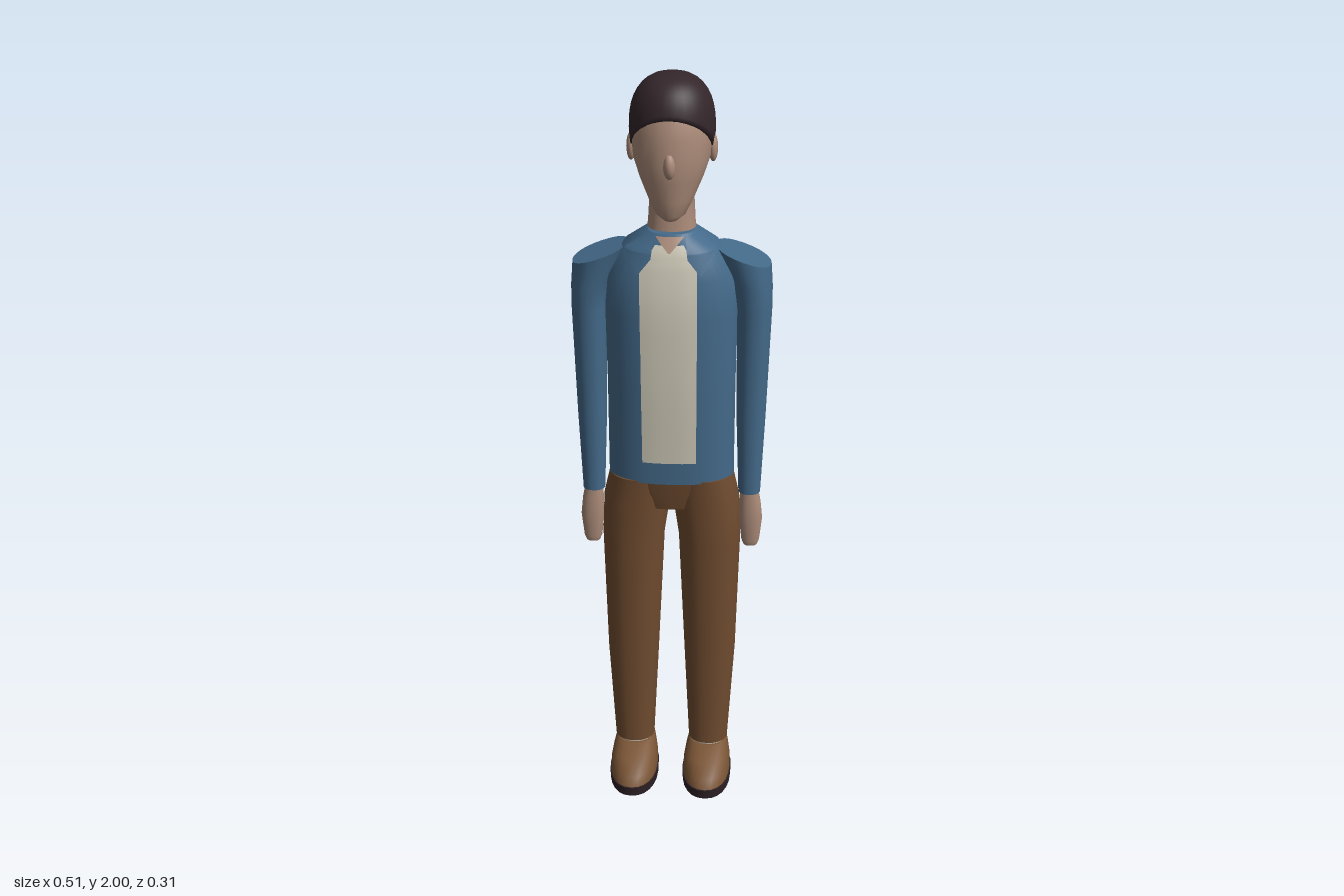
import * as THREE from 'three';

const mat = (name, color) => Object.assign(new THREE.MeshStandardMaterial({ color }), { name });
const skin = mat('skin', 0xab8b79);
const hair = mat('hair', 0x33262a);
const denim = mat('jacket blue', 0x446a8a);
const cream = mat('shirt cream', 0xcfcab9);
const brown = mat('trouser brown', 0x704c30);
const tan = mat('shoe brown', 0x7a5536);
const dark = mat('sole dark', 0x2c2024);

const spow = (v, p) => Math.sign(v) * Math.abs(v) ** p;

function build(name, pos, idx, material) {
  const g = new THREE.BufferGeometry();
  g.setAttribute('position', new THREE.Float32BufferAttribute(pos, 3));
  g.setIndex(idx);
  g.computeVertexNormals();
  const mesh = new THREE.Mesh(g, material);
  mesh.name = name;
  return mesh;
}

// Skin of oval rings, bottom to top: [y, cx, cz, rx, rz, tilt]; side mirrors it in x
function loft(name, rings, material, { side = 1, n = 24, e = 2.2 } = {}) {
  const pos = [], idx = [];
  const point = ([y, cx, cz, rx, rz, tilt = 0], j) => {
    const a = (j / n) * Math.PI * 2;
    const dx = rx * spow(Math.sin(a), 2 / e);
    return [side * cx + dx, y + side * tilt * dx, cz + rz * spow(Math.cos(a), 2 / e)];
  };
  rings.forEach((r, i) => {
    for (let j = 0; j < n; j++) {
      pos.push(...point(r, j));
      if (i === rings.length - 1) continue;
      const k = (j + 1) % n, a = i * n + j, b = i * n + k;
      idx.push(a, b, b + n, a, b + n, a + n);
    }
  });
  // End caps keep their own vertices for a crisp rim
  [rings[0], rings[rings.length - 1]].forEach((r, top) => {
    const c = pos.length / 3;
    pos.push(side * r[1], r[0], r[2]);
    for (let j = 0; j < n; j++) pos.push(...point(r, j));
    for (let j = 0; j < n; j++) {
      const a = c + 1 + j, b = c + 1 + ((j + 1) % n);
      if (top) idx.push(c, a, b); else idx.push(c, b, a);
    }
  });
  return build(name, pos, idx, material);
}

function ellipsoid(name, [x, y, z], [rx, ry, rz], material) {
  const mesh = new THREE.Mesh(new THREE.SphereGeometry(1, 16, 12), material);
  mesh.position.set(x, y, z);
  mesh.scale.set(rx, ry, rz);
  mesh.name = name;
  return mesh;
}

const torsoRings = [
  [0.935, 0, -0.018, 0.165, 0.098], [1.2, 0, -0.016, 0.166, 0.113],
  [1.4, 0, -0.018, 0.17, 0.118], [1.5, 0, -0.017, 0.165, 0.111],
  [1.575, 0, -0.014, 0.12, 0.09], [1.615, 0, -0.01, 0.06, 0.066],
];
const TORSO_E = 2.4;

// Depth of the chest surface at (x, y)
function chestZ(x, y) {
  let i = 0;
  while (i < torsoRings.length - 2 && y > torsoRings[i + 1][0]) i++;
  const [p, q] = [torsoRings[i], torsoRings[i + 1]];
  const t = (y - p[0]) / (q[0] - p[0]);
  const [cz, rx, rz] = [2, 3, 4].map((k) => p[k] + (q[k] - p[k]) * t);
  const u = Math.min(Math.abs(x) / rx, 0.97);
  return cz + rz * (1 - u ** TORSO_E) ** (1 / TORSO_E);
}

// Thin panel lying on the chest; rows go upward: [y, xLeft, xRight]
function panel(name, rows, offset, material) {
  const pos = [], idx = [], cols = 8, sub = 4;
  const count = (rows.length - 1) * sub + 1;
  for (let r = 0; r < count; r++) {
    const i = Math.min(Math.floor(r / sub), rows.length - 2), t = r / sub - i;
    const [y, x0, x1] = rows[i].map((v, k) => v + (rows[i + 1][k] - v) * t);
    for (let c = 0; c <= cols; c++) {
      const x = x0 + ((x1 - x0) * c) / cols, a = r * (cols + 1) + c;
      pos.push(x, y, chestZ(x, y) + offset);
      if (r < count - 1 && c < cols) idx.push(a, a + 1, a + cols + 2, a, a + cols + 2, a + cols + 1);
    }
  }
  return build(name, pos, idx, material);
}

// Hair cap whose lower edge climbs from the nape to the forehead
function hairCap() {
  const edge = [[-0.153, 1.775], [-0.105, 1.755], [-0.06, 1.79], [-0.03, 1.812], [0, 1.835], [0.04, 1.875], [0.077, 1.908]];
  const edgeY = (z) => {
    let i = 0;
    while (i < edge.length - 2 && z > edge[i + 1][0]) i++;
    const [p, q] = [edge[i], edge[i + 1]];
    return THREE.MathUtils.lerp(p[1], q[1], THREE.MathUtils.clamp((z - p[0]) / (q[0] - p[0]), 0, 1));
  };
  const radius = (y) => (y > 1.86
    ? Math.max(0, 1 - Math.min(1, (y - 1.86) / 0.14) ** 2.5) ** (1 / 2.5)
    : 1 - 0.9 * (1.86 - y));
  const pos = [], idx = [], n = 32, rows = 13;
  for (let r = 0; r <= rows; r++) {
    for (let j = 0; j < n; j++) {
      const a = (j / n) * Math.PI * 2, s = Math.sin(a), c = Math.cos(a);
      const low = edgeY(-0.038 + 0.115 * c);
      const t = Math.sin((Math.max(0, r - 1) / (rows - 1)) * Math.PI / 2);
      const y = low + (2 - low) * t;
      const k = r === 0 ? 0.8 : radius(y); // first row tucks under the edge
      pos.push(0.108 * k * s, y, -0.038 + 0.116 * k * c);
      if (r === rows) continue;
      const p = r * n + j, q = r * n + ((j + 1) % n);
      idx.push(p, q, q + n, p, q + n, p + n);
    }
  }
  return build('hair', pos, idx, hair);
}

export function createModel() {
  const model = new THREE.Group();
  model.name = 'standingMan';

  // Head
  const head = new THREE.Group();
  head.name = 'head';
  head.add(
    loft('neck', [[1.57, 0, -0.018, 0.066, 0.056], [1.63, 0, -0.022, 0.06, 0.056],
      [1.7, 0, -0.026, 0.056, 0.054], [1.8, 0, -0.04, 0.07, 0.06]], skin),
    loft('face', [[1.645, 0, 0.022, 0.018, 0.024], [1.662, 0, 0.023, 0.038, 0.042],
      [1.7, 0, 0.006, 0.058, 0.063], [1.75, 0, -0.01, 0.08, 0.09], [1.8, 0, -0.02, 0.097, 0.104],
      [1.86, 0, -0.031, 0.103, 0.11], [1.92, 0, -0.036, 0.098, 0.104], [1.96, 0, -0.036, 0.07, 0.075]], skin, { e: 2 }),
    ellipsoid('nose', [0, 1.795, 0.072], [0.016, 0.034, 0.024], skin),
    hairCap(),
  );
  model.add(head);

  // Jacket and shirt
  model.add(
    loft('jacketBody', torsoRings, denim, { n: 40, e: TORSO_E }),
    panel('shirtFront', [[1.0, -0.07, 0.07], [1.3, -0.072, 0.071], [1.53, -0.075, 0.07], [1.592, -0.036, 0.036]], 0.005, cream),
    panel('openNeck', [[1.575, -0.003, 0.003], [1.612, -0.036, 0.036]], 0.008, skin),
    loft('trouserSeat', [[0.85, 0, -0.02, 0.1, 0.076], [0.9, 0, -0.019, 0.16, 0.086], [0.945, 0, -0.018, 0.163, 0.093]], brown),
  );

  for (const side of [1, -1]) {
    const label = side > 0 ? 'left' : 'right';
    const span = ([y, a, b]) => (side > 0 ? [y, a, b] : [y, -b, -a]);
    head.add(ellipsoid(label + 'Ear', [side * 0.102, 1.815, -0.032], [0.012, 0.036, 0.02], skin));
    model.add(
      panel(label + 'Lapel', [[1.52, 0.078, 0.082], [1.56, 0.046, 0.106], [1.575, 0.044, 0.114], [1.612, 0.04, 0.06]].map(span), 0.012, denim),
      loft(label + 'Sleeve', [[0.88, 0.207, -0.015, 0.029, 0.031], [1.1, 0.208, -0.014, 0.038, 0.044],
        [1.4, 0.212, -0.018, 0.045, 0.061], [1.47, 0.205, -0.02, 0.052, 0.07, -0.2],
        [1.545, 0.182, -0.02, 0.071, 0.075, -0.36]], denim, { side }),
      loft(label + 'Hand', [[0.72, 0.212, -0.014, 0.018, 0.015], [0.735, 0.212, -0.014, 0.024, 0.02],
        [0.8, 0.212, -0.013, 0.031, 0.025], [0.85, 0.21, -0.014, 0.028, 0.024], [0.895, 0.207, -0.015, 0.022, 0.022]], skin, { side }),
      loft(label + 'TrouserLeg', [[0.106, 0.103, -0.017, 0.054, 0.054], [0.4, 0.105, -0.02, 0.07, 0.07],
        [0.75, 0.102, -0.02, 0.083, 0.084], [0.86, 0.092, -0.02, 0.089, 0.088], [0.94, 0.083, -0.018, 0.08, 0.09]], brown, { side }),
      loft(label + 'Sock', [[0.085, 0.103, -0.022, 0.049, 0.05], [0.115, 0.103, -0.018, 0.049, 0.05]], cream, { side }),
      loft(label + 'Shoe', [[0.024, 0.102, 0.026, 0.065, 0.125], [0.05, 0.102, 0.02, 0.065, 0.118],
        [0.076, 0.102, 0.002, 0.06, 0.097], [0.098, 0.102, -0.027, 0.053, 0.063]], tan, { side }),
      loft(label + 'Sole', [[0, 0.102, 0.027, 0.067, 0.127], [0.025, 0.102, 0.027, 0.068, 0.128]], dark, { side }),
    );
  }
  return model;
}
